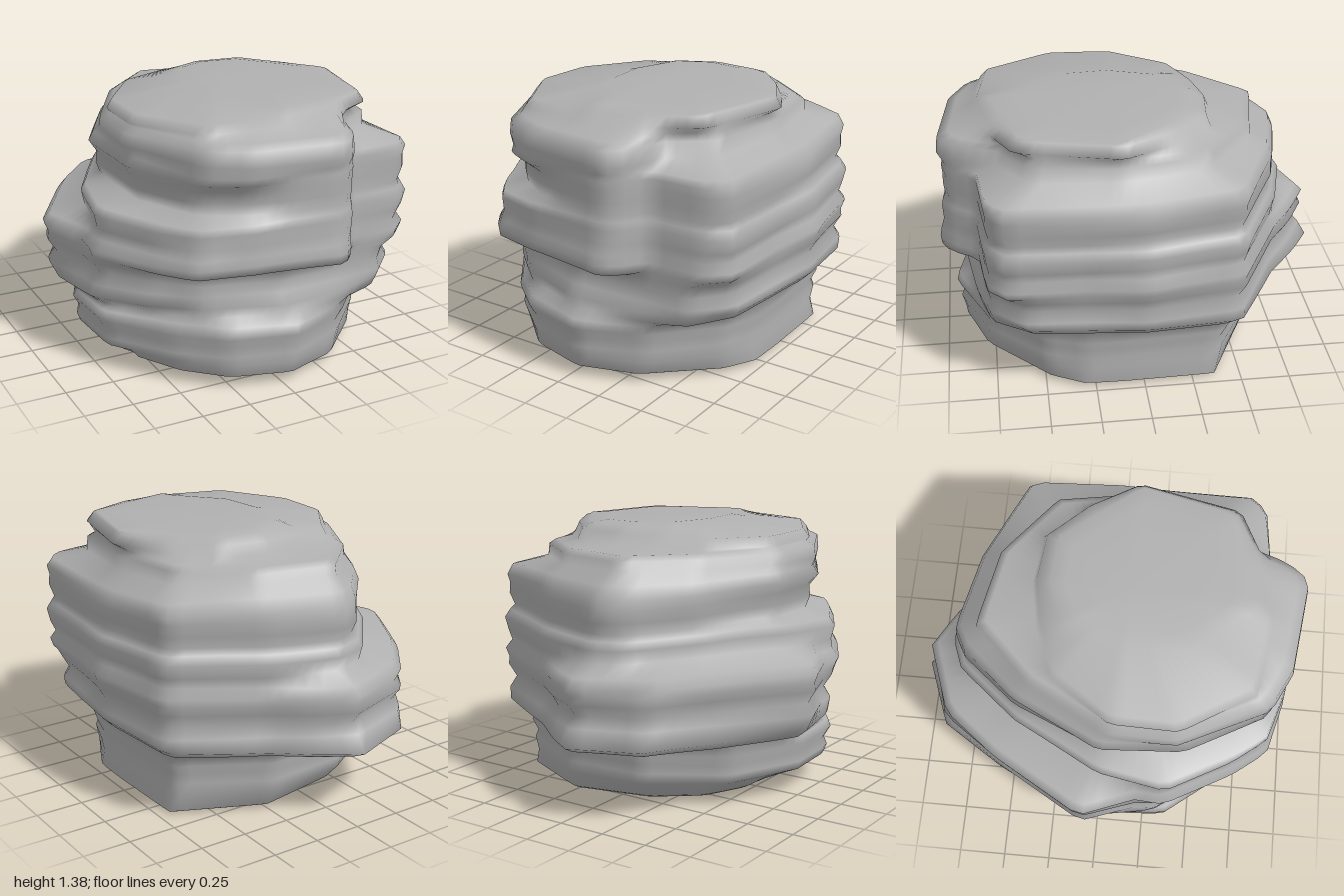
import * as THREE from 'three';

const SIDES = 90;
const CX = 0.08, CZ = 0.08; // axis the outlines are swept around

// Plan outlines of the strata as [x, z] corners, running from +x towards +z
const outlines = {
  sole: [[0.71, 0.1], [0.71, 0.3], [0.63, 0.47], [0.33, 0.78], [0.04, 0.89], [-0.26, 0.82], [-0.45, 0.65], [-0.58, 0.42],
    [-0.54, -0.16], [-0.42, -0.37], [-0.18, -0.52], [0.25, -0.58], [0.69, -0.36]],
  foot: [[0.72, 0.1], [0.72, 0.3], [0.65, 0.5], [0.38, 0.79], [0.06, 0.93], [-0.28, 0.85], [-0.5, 0.67], [-0.74, 0.36],
    [-0.76, 0.02], [-0.58, -0.38], [-0.2, -0.62], [0.25, -0.65], [0.69, -0.4]],
  slabBase: [[0.85, 0], [0.82, 0.3], [0.78, 0.58], [0.6, 0.77], [0.35, 0.83], [0, 0.88], [-0.38, 0.75], [-0.58, 0.56],
    [-0.76, 0.3], [-0.82, -0.05], [-0.6, -0.53], [-0.38, -0.87], [-0.03, -1], [0.15, -0.88], [0.33, -0.73], [0.78, -0.48]],
  slab: [[0.88, 0], [0.83, 0.3], [0.79, 0.62], [0.62, 0.78], [0.35, 0.81], [0, 0.85], [-0.4, 0.74], [-0.6, 0.56],
    [-0.78, 0.32], [-0.79, 0.2], [-0.89, -0.08], [-0.62, -0.55], [-0.4, -0.86], [-0.03, -0.97], [0.15, -0.87], [0.33, -0.73], [0.8, -0.49]],
  bulge: [[0.89, 0], [0.83, 0.3], [0.81, 0.68], [0.7, 0.78], [0.41, 0.81], [0.36, 0.9], [0.27, 1], [-0.2, 0.94], [-0.47, 0.87],
    [-0.6, 0.7], [-0.79, 0.35], [-0.78, 0.2], [-0.89, -0.08], [-0.62, -0.55], [-0.4, -0.83], [-0.03, -0.96], [0.15, -0.86], [0.33, -0.73], [0.8, -0.49]],
  ledge: [[0.87, 0], [0.83, 0.3], [0.81, 0.7], [0.7, 0.78], [0.41, 0.81], [0.36, 0.9], [0.27, 0.98], [-0.2, 0.93], [-0.45, 0.85],
    [-0.58, 0.68], [-0.76, 0.35], [-0.7, 0], [-0.46, -0.45], [-0.2, -0.76], [-0.04, -0.82], [0.33, -0.72], [0.8, -0.49]],
  neck: [[0.84, 0], [0.82, 0.3], [0.8, 0.71], [0.7, 0.77], [0.41, 0.8], [0.36, 0.89], [0.27, 0.97], [0, 0.93], [-0.2, 0.86],
    [-0.4, 0.73], [-0.58, 0.42], [-0.62, 0], [-0.42, -0.45], [-0.18, -0.74], [-0.06, -0.8], [0.33, -0.7], [0.78, -0.48]],
  upper: [[0.82, 0], [0.81, 0.3], [0.8, 0.71], [0.7, 0.77], [0.41, 0.8], [0.35, 0.9], [0.28, 0.97], [-0.2, 0.92], [-0.4, 0.82],
    [-0.62, 0.42], [-0.65, 0], [-0.42, -0.45], [-0.18, -0.72], [-0.06, -0.78], [0.33, -0.69], [0.78, -0.48]],
  crown: [[0.69, 0.1], [0.63, 0.55], [0.43, 0.7], [0.37, 0.88], [0.28, 0.99], [-0.2, 0.93], [-0.4, 0.83], [-0.62, 0.38],
    [-0.61, 0.05], [-0.38, -0.38], [-0.1, -0.66], [0.3, -0.58], [0.62, -0.32]],
  brow: [[0.69, 0.1], [0.58, 0.6], [0.3, 0.74], [0.05, 0.79], [-0.35, 0.73], [-0.56, 0.38], [-0.55, 0.05], [-0.34, -0.25],
    [-0.1, -0.34], [0.12, -0.38], [0.37, -0.35], [0.55, -0.15]],
  cap: [[0.66, 0.11], [0.55, 0.58], [0.06, 0.72], [-0.18, 0.4], [-0.2, 0.1], [-0.1, -0.2], [0.1, -0.3], [0.35, -0.28]],
};

// Strata from the ground up: height, outline, scale, tilt along x, tilt along z
const rings = [
  [0.03, 'sole', 0.97, -0.03, 0.02], [0.045, 'sole', 1.01, -0.03, 0.02], [0.12, 'foot', 0.97, -0.02, 0],
  [0.18, 'foot', 0.99, 0, 0], [0.22, 'foot', 0.97, 0, 0], [0.28, 'foot', 1.01, 0, 0], [0.33, 'foot', 0.99, 0, 0],
  [0.355, 'slabBase', 0.94, 0.02, 0.01], [0.4, 'slabBase', 1, 0.02, 0.02], [0.47, 'slab', 0.98, 0, 0], [0.525, 'slab', 0.94, 0, 0],
  [0.59, 'slab', 0.985, 0, 0], [0.63, 'bulge', 0.98, 0, 0], [0.675, 'bulge', 1, 0, 0], [0.72, 'bulge', 0.96, 0, 0],
  [0.77, 'ledge', 0.98, 0, 0], [0.84, 'ledge', 1, 0, 0], [0.88, 'ledge', 0.97, 0, 0],
  [0.91, 'neck', 0.96, 0, 0], [0.97, 'neck', 0.99, 0, 0], [1.03, 'neck', 0.985, 0, 0], [1.08, 'upper', 1, -0.01, 0],
  [1.13, 'upper', 0.965, -0.01, -0.02], [1.18, 'crown', 1, -0.01, -0.02], [1.24, 'crown', 0.99, 0, 0],
  [1.265, 'crown', 0.93, 0, 0], [1.285, 'brow', 1.03, 0.02, 0.02], [1.335, 'brow', 0.98, 0.025, 0.01],
  [1.365, 'cap', 1, -0.005, 0], [1.38, 'cap', 0.8, -0.01, 0],
];

// Distance from the axis to an outline in direction a
function reach(points, a) {
  const dx = Math.cos(a), dz = Math.sin(a);
  let best = 0;
  points.forEach(([x0, z0], i) => {
    const [x1, z1] = points[(i + 1) % points.length];
    const ex = x1 - x0, ez = z1 - z0, px = x0 - CX, pz = z0 - CZ;
    const det = dx * ez - dz * ex;
    if (Math.abs(det) < 1e-9) return;
    const t = (px * ez - pz * ex) / det;
    const s = (px * dz - pz * dx) / det;
    if (t > 0 && s >= -1e-6 && s <= 1 + 1e-6) best = Math.max(best, t);
  });
  return best;
}

function rockGeometry() {
  const pos = [], index = [];
  rings.forEach(([y, name, scale, tx, tz]) => {
    const bedded = y > 0.3 && y < 1.16;
    for (let i = 0; i < SIDES; i++) {
      const a = (i / SIDES) * Math.PI * 2;
      // the grooves fade out on the front face
      const depth = bedded ? 1 - 0.75 * THREE.MathUtils.smoothstep(Math.sin(a), 0.55, 0.9) : 1;
      const r = reach(outlines[name], a) * (1 - (1 - scale) * depth);
      const x = CX + Math.cos(a) * r, z = CZ + Math.sin(a) * r;
      // slight waviness of the bedding lines
      const wave = bedded ? 0.012 * Math.sin(3 * a + y * 4) : 0;
      pos.push(x, Math.max(0, y + tx * x + tz * z + wave), z);
    }
  });
  for (let j = 0; j < rings.length - 1; j++) {
    for (let i = 0; i < SIDES; i++) {
      const k = (i + 1) % SIDES;
      const a = j * SIDES + i, b = j * SIDES + k, c = a + SIDES, d = b + SIDES;
      index.push(a, c, b, b, c, d);
    }
  }
  // close the underside and the top
  const low = pos.length / 3, high = low + 1, last = (rings.length - 1) * SIDES;
  pos.push(CX, 0.03, CZ, CX, 1.385, CZ);
  for (let i = 0; i < SIDES; i++) {
    const k = (i + 1) % SIDES;
    index.push(low, i, k, high, last + k, last + i);
  }
  const g = new THREE.BufferGeometry();
  g.setAttribute('position', new THREE.Float32BufferAttribute(pos, 3));
  g.setIndex(index);
  g.computeVertexNormals();
  return g;
}

export function createModel() {
  const stone = new THREE.MeshStandardMaterial({ color: 0xb0b0b0 });
  stone.name = 'grey stone';
  const group = new THREE.Group();
  group.name = 'layeredRock';
  const rock = new THREE.Mesh(rockGeometry(), stone);
  rock.name = 'rockStrata';
  group.add(rock);
  return group;
}
